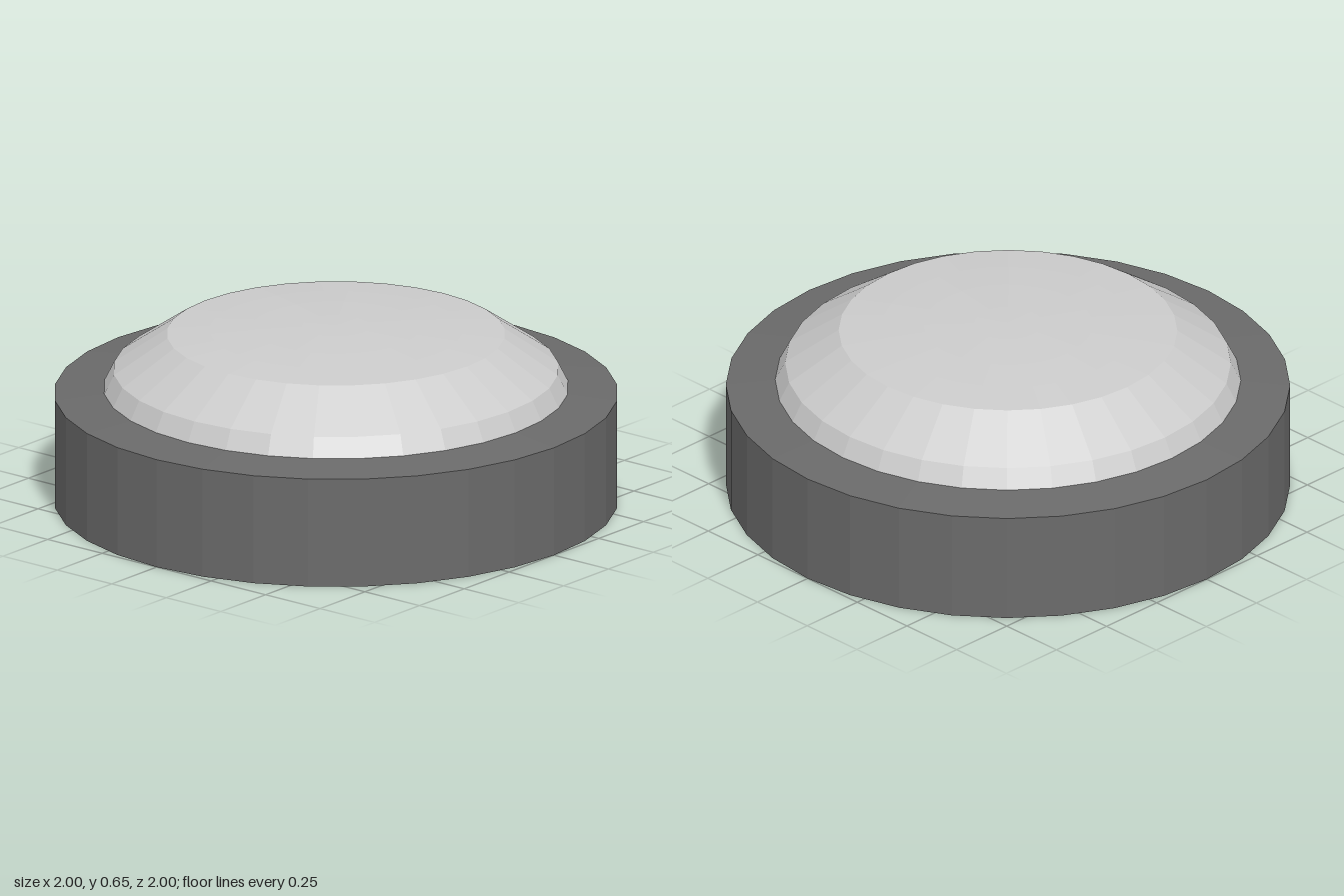
import * as THREE from 'three';

const SIDES = 32;

// Faceted solid of revolution from [radius, height] pairs, bottom to top
function turned(name, profile, color) {
  const points = profile.map(([r, y]) => new THREE.Vector2(r, y));
  const material = new THREE.MeshStandardMaterial({ color, flatShading: true });
  const mesh = new THREE.Mesh(new THREE.LatheGeometry(points, SIDES), material);
  mesh.name = name;
  return mesh;
}

export function createModel() {
  const model = new THREE.Group();
  model.name = 'domedButton';

  // Dark drum with a gently sloping rim
  model.add(turned('base', [[0, 0], [1, 0], [1, 0.4], [0.825, 0.42], [0, 0.42]], 0x6a6a6a));

  // Light cap: bevelled shoulder and a shallow crown
  const crown = [0.6, 0.45, 0.3, 0.12, 0].map((r) => [r, 0.65 - 0.03 * (r / 0.6) ** 2]);
  model.add(turned('cap', [[0.825, 0.42], [0.79, 0.49], ...crown], 0xcccccc));

  return model;
}
